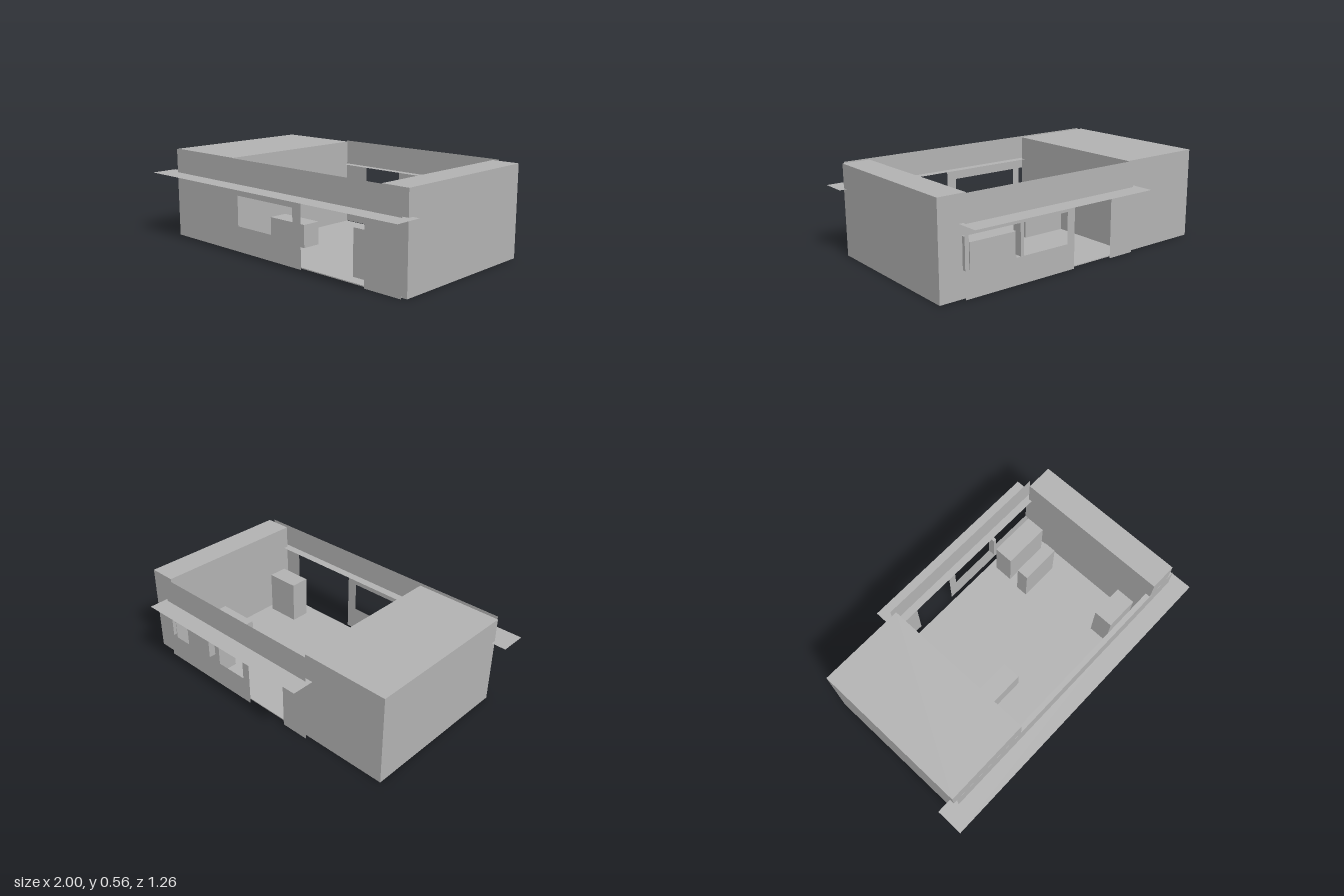
import * as THREE from 'three';

// Open-topped house: two roofed blocks, flat walls with openings, thin awnings
export function createModel() {
  const group = new THREE.Group();
  group.name = 'house';
  const plaster = new THREE.MeshStandardMaterial({ color: 0xb2b2b2, side: THREE.DoubleSide });
  plaster.name = 'grey plaster';

  function add(name, geometry) {
    const mesh = new THREE.Mesh(geometry, plaster);
    mesh.name = name;
    group.add(mesh);
    return mesh;
  }

  // Box given by its extents on each axis
  function box(name, x0, x1, y0, y1, z0, z1, openBottom = false) {
    const g = new THREE.BoxGeometry(x1 - x0, y1 - y0, z1 - z0);
    if (openBottom) {
      const index = Array.from(g.index.array);
      index.splice(18, 6);
      g.setIndex(index);
      g.clearGroups();
    }
    g.translate((x0 + x1) / 2, (y0 + y1) / 2, (z0 + z1) / 2);
    return add(name, g);
  }

  // Flat wall with a doorway notch and rectangular window holes
  function wall(name, x0, x1, z, door, windows) {
    const s = new THREE.Shape();
    s.moveTo(x0, 0);
    s.lineTo(door[0], 0);
    s.lineTo(door[0], door[2]);
    s.lineTo(door[1], door[2]);
    s.lineTo(door[1], 0);
    s.lineTo(x1, 0);
    s.lineTo(x1, 0.56);
    s.lineTo(x0, 0.56);
    s.closePath();
    for (const [a, b] of windows) {
      const h = new THREE.Path();
      h.moveTo(a, 0.156);
      h.lineTo(a, 0.342);
      h.lineTo(b, 0.342);
      h.lineTo(b, 0.156);
      h.closePath();
      s.holes.push(h);
    }
    add(name, new THREE.ShapeGeometry(s)).position.z = z;
  }

  // Horizontal plate from plan points [x, z]
  function plate(name, points, y, thickness) {
    const s = new THREE.Shape(points.map(([x, z]) => new THREE.Vector2(x, -z)));
    const g = thickness
      ? new THREE.ExtrudeGeometry(s, { depth: thickness, bevelEnabled: false })
      : new THREE.ShapeGeometry(s);
    add(name, g.rotateX(-Math.PI / 2).translate(0, y, 0));
  }

  const rect = (x0, x1, z0, z1) => [[x0, z1], [x1, z1], [x1, z0], [x0, z0]];

  // Floor, wider at the front and running under the blocks
  plate('floor', [[-0.87, 0.495], [0.925, 0.495], [0.788, -0.495], [-0.363, -0.495]], 0, 0.006);

  // Roofed side blocks, hollow underneath
  box('largeBlock', -0.91, -0.363, 0, 0.557, -0.497, 0.493, true);
  box('smallBlock', 0.786, 0.957, 0, 0.557, -0.497, 0.493, true);

  // Street and rear walls
  wall('frontWall', -0.895, 0.935, 0.515, [0.23, 0.693, 0.41], [[-0.81, -0.352], [-0.304, 0.165]]);
  wall('backWall', -0.387, 0.815, -0.52, [-0.208, 0.075, 0.4], [[0.128, 0.79]]);

  // Rear window posts
  box('windowPost', 0.79, 0.814, 0.156, 0.337, -0.519, -0.475);
  box('windowMullion', 0.437, 0.458, 0.156, 0.342, -0.519, -0.475);

  // Awnings passing through the walls
  plate('frontAwning', rect(-1, 1, 0.462, 0.63), 0.41, 0);
  plate('backAwning', rect(-0.417, 0.832, -0.635, -0.473), 0.402, 0);

  // Furniture
  box('counter', -0.363, -0.063, 0.006, 0.15, 0.083, 0.206);
  box('rearCabinet', 0.432, 0.737, 0.006, 0.275, -0.45, -0.325);
  for (const x of [0.421, 0.552]) box('middleCabinet', x, x + 0.131, 0.006, 0.264, -0.252, -0.174);
  box('frontCabinet', 0.533, 0.748, 0.006, 0.278, 0.297, 0.421);

  return group;
}
